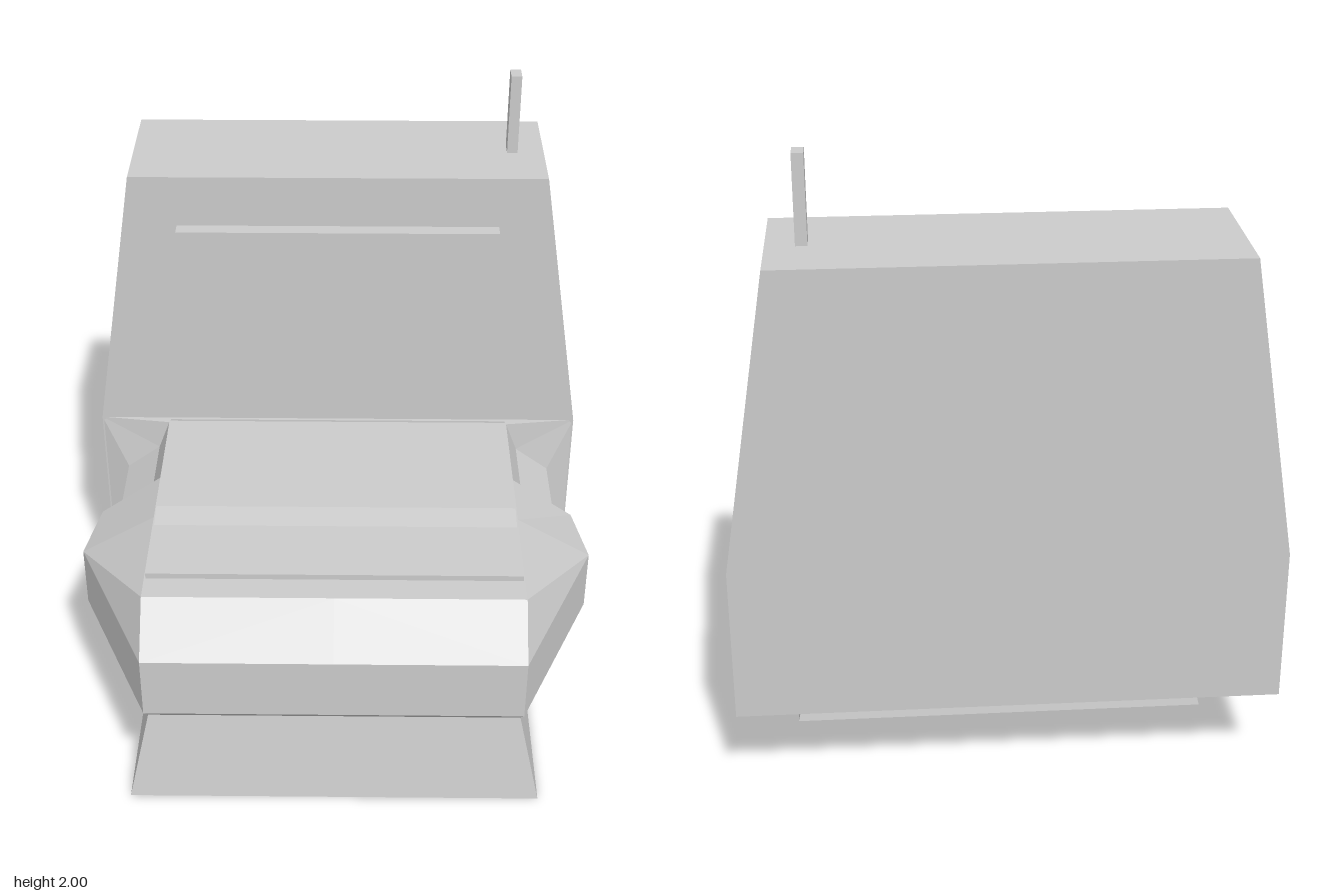
import * as THREE from 'three';

const mat = new THREE.MeshStandardMaterial({ color: 0xcccccc, flatShading: true });

function add(parent, name, geometry, x = 0, y = 0, z = 0) {
  const mesh = new THREE.Mesh(geometry, mat);
  mesh.name = name;
  mesh.position.set(x, y, z);
  parent.add(mesh);
  return mesh;
}

// Lofts half-sections (points run from top to bottom, rings from back to front),
// closes both ends onto the centre plane and mirrors everything in x.
function mirroredLoft(rings) {
  const flat = ring => ring.map(([, y, z]) => [0, y, z]);
  const all = [flat(rings[0]), ...rings, flat(rings[rings.length - 1])];
  const pos = [];
  const tri = (a, b, c) => {
    pos.push(...a, ...b, ...c);
    for (const [x, y, z] of [a, c, b]) pos.push(-x, y, z);
  };
  for (let j = 0; j < all.length - 1; j++) {
    const a = all[j], b = all[j + 1];
    for (let i = 0; i < a.length - 1; i++) {
      tri(a[i], b[i], a[i + 1]);
      tri(b[i], b[i + 1], a[i + 1]);
    }
  }
  const g = new THREE.BufferGeometry();
  g.setAttribute('position', new THREE.Float32BufferAttribute(pos, 3));
  g.computeVertexNormals();
  return g;
}

// Half-section at one depth, reaching the centre plane at top and bottom
function section(z, pts) {
  const full = [[0, pts[0][1]], ...pts, [0, pts[pts.length - 1][1]]];
  return full.map(([x, y]) => [x, y, z]);
}

// Extrudes a (z, y) side profile across the width
function extrudeAcross(profile, width) {
  const shape = new THREE.Shape(profile.map(p => new THREE.Vector2(...p)));
  const g = new THREE.ExtrudeGeometry(shape, { depth: width, bevelEnabled: false });
  return g.translate(0, 0, -width / 2).rotateY(-Math.PI / 2);
}

export function createModel() {
  const group = new THREE.Group();
  group.name = 'consoleTerminal';

  // Pedestal: box tapered towards the top
  const base = new THREE.BoxGeometry(1, 1, 1);
  const p = base.attributes.position;
  for (let i = 0; i < p.count; i++) {
    const top = p.getY(i) > 0;
    const x = (top ? 0.58 : 0.67) * Math.sign(p.getX(i));
    const z = p.getZ(i) > 0 ? (top ? 0.65 : 0.72) : (top ? -0.325 : -0.4);
    p.setXYZ(i, x, top ? 0.4 : 0, z);
  }
  base.computeVertexNormals();
  add(group, 'pedestal', base);

  // Tall tapered back cabinet
  const outline = new THREE.Shape([
    [-0.835, 0.295], [0.835, 0.295], [0.835, 0.79], [0.685, 1.73], [-0.685, 1.73], [-0.835, 0.79],
  ].map(q => new THREE.Vector2(...q)));
  add(group, 'backCabinet', new THREE.ExtrudeGeometry(outline, { depth: 0.45, bevelEnabled: false }), 0, 0, -0.79);

  // Screen and antenna
  add(group, 'screen', new THREE.BoxGeometry(1.065, 0.725, 0.06), 0, 1.1925, -0.32);
  add(group, 'antenna', new THREE.BoxGeometry(0.035, 0.28, 0.06), 0.58, 1.86, -0.567);

  // Neck: narrow arms that flare out where they meet the cabinet
  const neck = [[0.595, 0.79], [0.635, 0.685], [0.75, 0.6], [0.75, 0.48], [0.595, 0.4]];
  const flare = [[0.595, 0.79], [0.835, 0.79], [0.835, 0.79], [0.835, 0.295], [0.595, 0.295]];
  add(group, 'neck', mirroredLoft([section(-0.342, flare), section(-0.31, neck), section(0.04, neck)]));

  // Faceted control desk, widest near its middle and pinched to the front
  const deskSection = (z, w) => section(z, [[0.595, 0.79], [w, 0.645], [w, 0.435], [0.595, 0.295]]);
  const front = deskSection(0.79, 0.595);
  for (const q of front) if (q[1] > 0.7 || q[1] < 0.4) q[2] = 0.65;
  add(group, 'controlDesk', mirroredLoft([deskSection(0.025, 0.8), deskSection(0.245, 0.838), front]));

  // Raised panels on the desk top
  add(group, 'keyPanel', extrudeAcross([[-0.34, 0.785], [0.32, 0.785], [0.2, 0.803], [-0.3, 0.803]], 1.18));
  add(group, 'frontStrip', new THREE.BoxGeometry(1.18, 0.03, 0.24), 0, 0.794, 0.44);

  return group;
}
